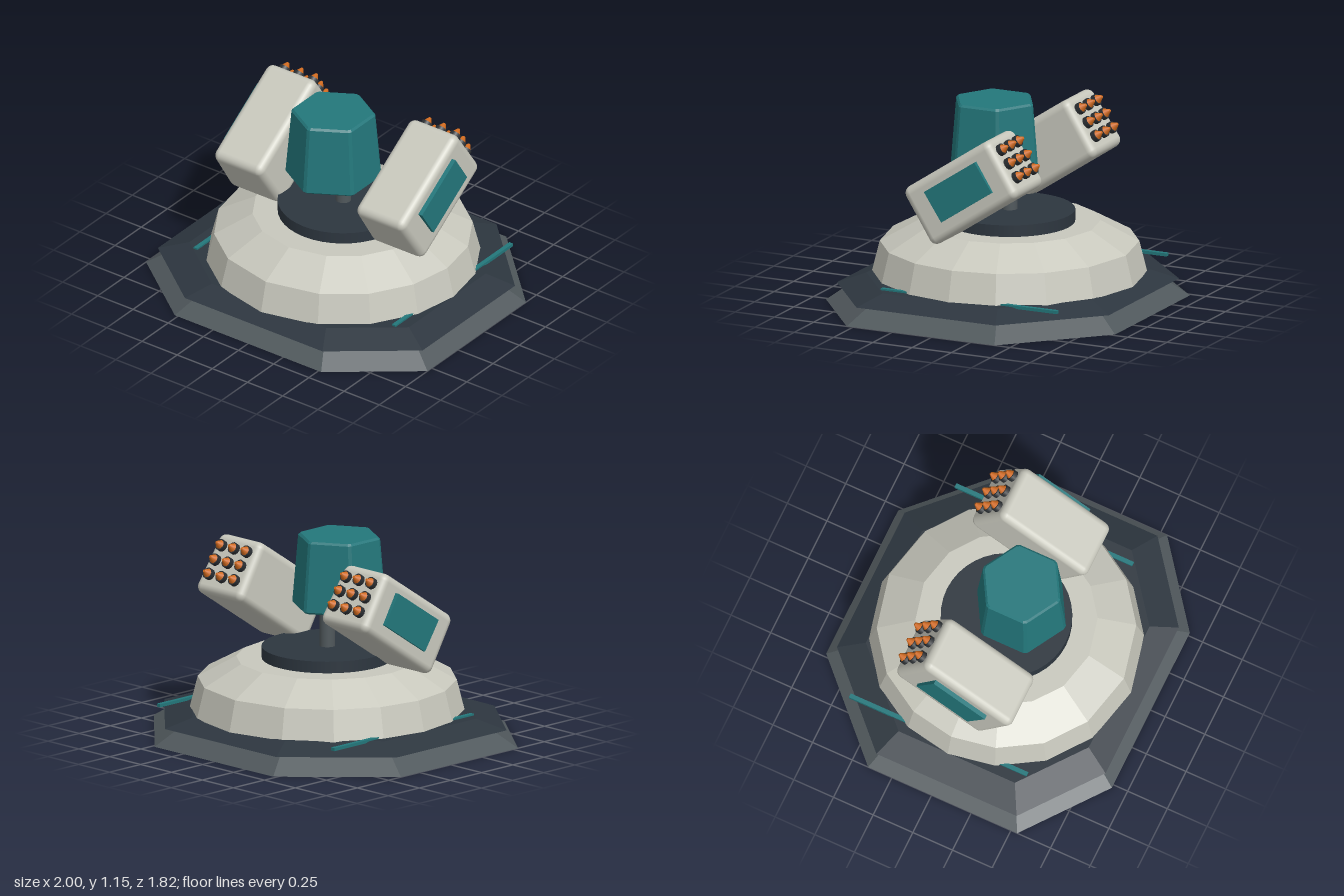
import * as THREE from 'three';
import { RoundedBoxGeometry } from 'three/addons/geometries/RoundedBoxGeometry.js';

const mat = (name, color, flat = false) => {
  const m = new THREE.MeshStandardMaterial({ color, flatShading: flat });
  m.name = name;
  return m;
};

// Stacks scaled copies of an [x, z] outline at levels [scale, y] and caps both ends
function loft(outline, levels) {
  const pos = [];
  const n = outline.length;
  const at = (i, [s, y]) => [outline[i % n][0] * s, y, outline[i % n][1] * s];
  const tri = (...pts) => pts.forEach((p) => pos.push(...p));
  const low = levels[0];
  const high = levels[levels.length - 1];
  for (let i = 0; i < n; i++) {
    for (let k = 0; k + 1 < levels.length; k++) {
      const a = at(i, levels[k]), b = at(i + 1, levels[k]);
      const c = at(i + 1, levels[k + 1]), d = at(i, levels[k + 1]);
      tri(a, d, c);
      tri(a, c, b);
    }
    tri([0, low[1], 0], at(i, low), at(i + 1, low));
    tri([0, high[1], 0], at(i + 1, high), at(i, high));
  }
  const g = new THREE.BufferGeometry();
  g.setAttribute('position', new THREE.Float32BufferAttribute(pos, 3));
  g.computeVertexNormals();
  return g;
}

const polar = (deg, r = 1) => {
  const a = THREE.MathUtils.degToRad(deg);
  return [Math.cos(a) * r, Math.sin(a) * r];
};

export function createModel() {
  const model = new THREE.Group();
  model.name = 'missileTurret';

  const steel = mat('steelGrey', 0x50585c);
  const navy = mat('darkSlate', 0x2d363f);
  const shell = mat('paleGrey', 0xc8c8bd);
  const teal = mat('teal', 0x23777b);
  const barrel = mat('charcoal', 0x2b2f33);
  const orange = mat('orange', 0xd06a1e);

  const add = (parent, name, geometry, material, x = 0, y = 0, z = 0) => {
    const m = new THREE.Mesh(geometry, material);
    m.name = name;
    m.position.set(x, y, z);
    parent.add(m);
    return m;
  };

  // Eight-sided foundation and the plate above it
  const octagon = [[1, -0.4], [1, 0.54], [0.52, 0.91], [-0.52, 0.91],
    [-1, 0.54], [-1, -0.4], [-0.48, -0.91], [0.48, -0.91]];
  add(model, 'foundation', loft(octagon, [[1, 0], [0.85, 0.105]]), steel);
  add(model, 'basePlate', loft(octagon, [[0.94, 0.1], [0.78, 0.155]]), navy);

  // Faceted dome
  const quarter = [0, 20.5, 42, 64];
  const angles = [...quarter, 90, ...quarter.slice(1).reverse().map((a) => 180 - a)];
  const ring = [...angles, ...angles.map((a) => a + 180)].map((a) => polar(a));
  add(model, 'dome', loft(ring, [[0.785, 0.15], [0.74, 0.33], [0.52, 0.452]]), shell);

  // Turntable and post
  add(model, 'turntable', new THREE.CylinderGeometry(0.375, 0.375, 0.08, 40), navy, 0, 0.48, 0);
  add(model, 'post', new THREE.CylinderGeometry(0.045, 0.045, 0.26, 20), steel, 0, 0.63, 0);

  // Hexagonal sensor head with chamfered edges
  const hex = [];
  for (let k = 0; k < 6; k++) {
    for (const d of [-2.5, 2.5]) hex.push(polar(30 + 60 * k + d, 0.978));
  }
  add(model, 'sensorHead', loft(hex,
    [[0.265, 0.735], [0.28, 0.747], [0.245, 1.143], [0.232, 1.155]]), teal, 0, 0, 0.095);

  // Launcher box, narrowing towards its top
  const boxGeo = new RoundedBoxGeometry(0.375, 0.37, 0.66, 3, 0.045);
  const p = boxGeo.attributes.position;
  for (let i = 0; i < p.count; i++) p.setX(i, p.getX(i) * (0.955 - 0.25 * p.getY(i)));

  const panelGeo = new THREE.BoxGeometry(0.03, 0.2, 0.385);
  const tubeGeo = new THREE.CylinderGeometry(0.034, 0.034, 0.05, 12).rotateX(-Math.PI / 2);
  const tipGeo = new THREE.CylinderGeometry(0.008, 0.028, 0.034, 10).rotateX(-Math.PI / 2);
  const stripGeo = new THREE.BoxGeometry(0.026, 0.018, 1.12);

  for (const side of [1, -1]) {
    const label = side > 0 ? 'left' : 'right';
    const launcher = new THREE.Group();
    launcher.name = label + 'Launcher';
    launcher.position.set(side * 0.505, 0.77, -0.018);
    launcher.rotation.x = THREE.MathUtils.degToRad(33.5);
    model.add(launcher);

    add(launcher, 'launcherBox', boxGeo, shell);
    add(launcher, 'sidePanel', panelGeo, teal, side * 0.185, 0.012, -0.01);

    // Three by three missiles in the raised rear end
    for (let row = -1; row <= 1; row++) {
      for (let col = -1; col <= 1; col++) {
        const x = col * 0.102, y = 0.01 + row * 0.09;
        add(launcher, 'missileTube', tubeGeo, barrel, x, y, -0.332);
        add(launcher, 'missileTip', tipGeo, orange, x, y, -0.373);
      }
    }

    // Trim strip along the base plate
    add(model, label + 'TrimStrip', stripGeo, teal, side * 0.705, 0.156, -0.095);
  }
  return model;
}
